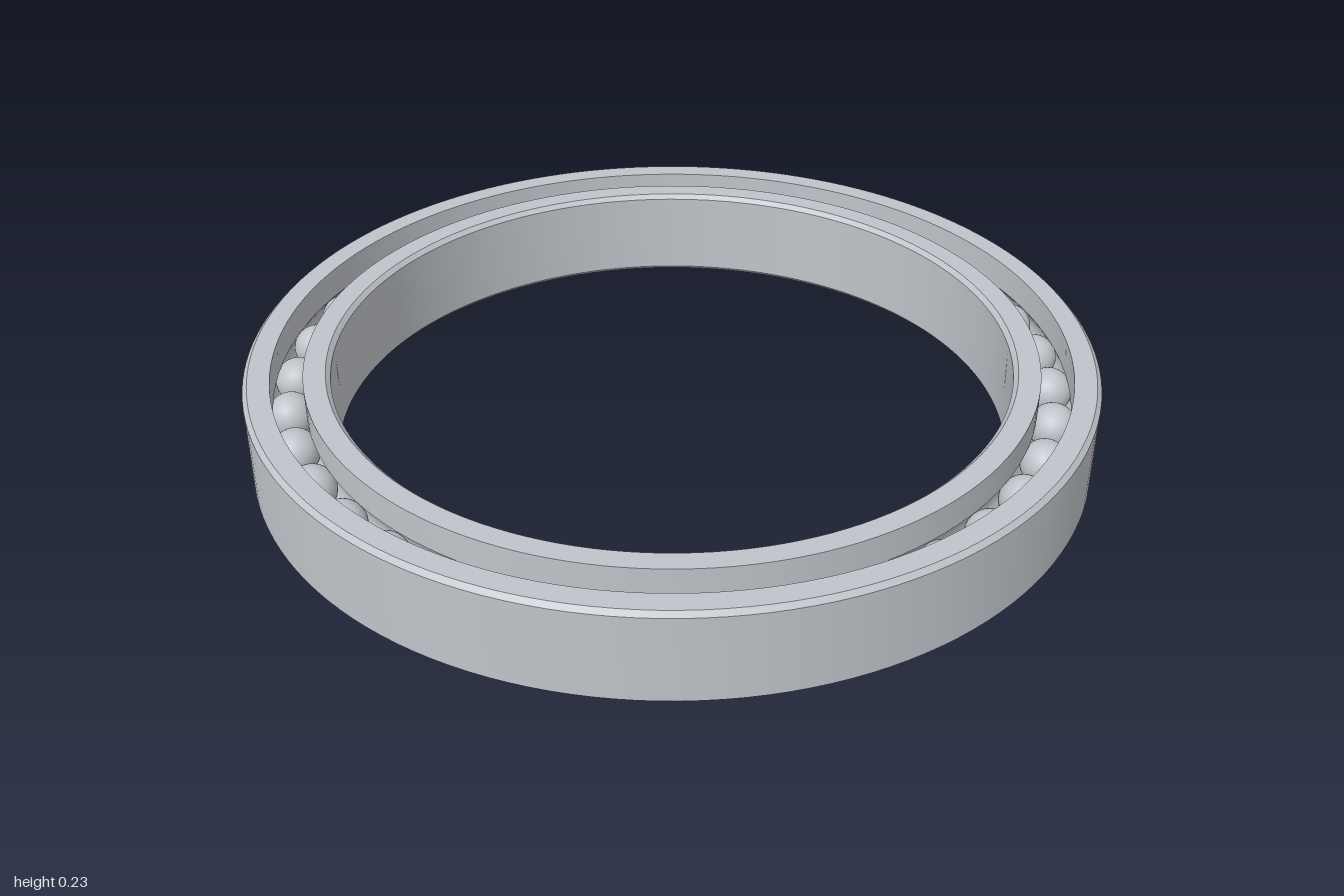
import * as THREE from 'three';
import { toCreasedNormals } from 'three/addons/utils/BufferGeometryUtils.js';

const HEIGHT = 0.23;
const PITCH = 0.9;       // radius of the circle of ball centres
const BALL_RADIUS = 0.056;
const BALL_COUNT = 36;
const GAP = 0.0375;      // half the gap between the two rings
const CHAMFER = 0.011;

// Closed counter-clockwise section of the outer ring, with a grooved raceway
function outerSection() {
  const rim = 1;
  const wall = PITCH + GAP;
  const points = [
    [wall, 0], [rim - CHAMFER, 0], [rim, CHAMFER],
    [rim, HEIGHT - CHAMFER], [rim - CHAMFER, HEIGHT], [wall, HEIGHT],
  ];
  const grooveRadius = BALL_RADIUS + 0.001;
  const reach = Math.acos(GAP / grooveRadius);
  const steps = 12;
  for (let i = 0; i <= steps; i++) {
    const t = reach * (1 - (2 * i) / steps);
    points.push([PITCH + grooveRadius * Math.cos(t), HEIGHT / 2 + grooveRadius * Math.sin(t)]);
  }
  points.push([wall, 0]);
  return points.map(([r, y]) => new THREE.Vector2(r, y));
}

function makeRing(section, material, name) {
  const geometry = toCreasedNormals(new THREE.LatheGeometry(section, 144), 0.3);
  const ring = new THREE.Mesh(geometry, material);
  ring.name = name;
  return ring;
}

export function createModel() {
  const group = new THREE.Group();
  group.name = 'ballBearing';
  const steel = new THREE.MeshStandardMaterial({ color: 0xc0c4ca });
  steel.name = 'steel';

  // The inner ring is the outer section mirrored about the ball circle
  const outer = outerSection();
  const inner = outer.map((p) => new THREE.Vector2(2 * PITCH - p.x, p.y)).reverse();
  group.add(makeRing(outer, steel, 'outerRing'), makeRing(inner, steel, 'innerRing'));

  // Balls evenly spaced in the raceway
  const balls = new THREE.Group();
  balls.name = 'balls';
  const ballGeometry = new THREE.SphereGeometry(BALL_RADIUS, 32, 20);
  for (let i = 0; i < BALL_COUNT; i++) {
    const angle = (i / BALL_COUNT) * Math.PI * 2;
    const ball = new THREE.Mesh(ballGeometry, steel);
    ball.name = 'ball';
    ball.position.set(PITCH * Math.sin(angle), HEIGHT / 2, PITCH * Math.cos(angle));
    balls.add(ball);
  }
  group.add(balls);
  return group;
}
